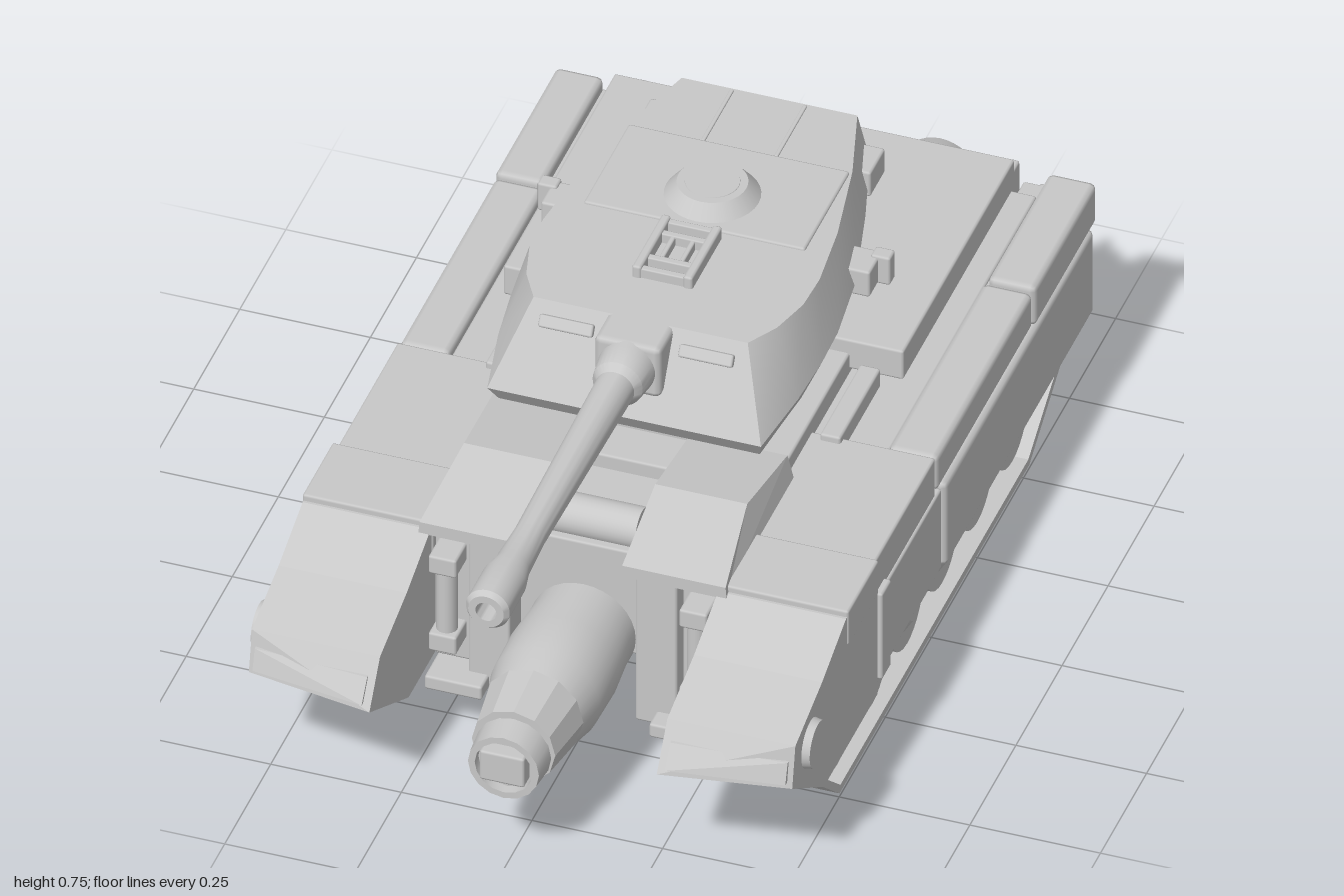
import * as THREE from 'three';
import { mergeVertices, toCreasedNormals } from 'three/addons/utils/BufferGeometryUtils.js';
import { RoundedBoxGeometry } from 'three/addons/geometries/RoundedBoxGeometry.js';

const grey = new THREE.MeshStandardMaterial({ color: 0xc8c8c8 });
grey.name = 'armourGrey';

// Box given by its limits on each axis, with a small bevel
function box(x0, x1, y0, y1, z0, z1, r = 0.005) {
  return new RoundedBoxGeometry(x1 - x0, y1 - y0, z1 - z0, 1, r)
    .translate((x0 + x1) / 2, (y0 + y1) / 2, (z0 + z1) / 2);
}

// Side profile of [z, y] points, extruded from x0 to x1
function slab(pts, x0, x1, hole) {
  const shape = new THREE.Shape(pts.map(p => new THREE.Vector2(...p)));
  if (hole) shape.holes.push(new THREE.Path(hole.map(p => new THREE.Vector2(...p))));
  return new THREE.ExtrudeGeometry(shape, { depth: x1 - x0, bevelEnabled: false })
    .rotateY(-Math.PI / 2).translate(x1, 0, 0);
}

// Turned part along z from [radius, z] points, z ascending
function turned(pts, x, y, sides = 32) {
  const g = new THREE.LatheGeometry(pts.map(p => new THREE.Vector2(...p)), sides);
  return toCreasedNormals(g.rotateX(Math.PI / 2), 0.5).translate(x, y, 0);
}

// Disc whose axis runs along x
function disc(r0, r1, x0, x1, y, z, sides = 28) {
  return new THREE.CylinderGeometry(r0, r1, x1 - x0, sides)
    .rotateZ(-Math.PI / 2).translate((x0 + x1) / 2, y, z);
}

// Copy reflected across x = 0
function mirrored(geo) {
  const g = mergeVertices(geo.clone());
  g.scale(-1, 1, 1);
  g.setIndex(Array.from(g.index.array).reverse());
  return g;
}

// Symmetric shell from stations of three right-hand [x, y, z] points, front to back
function loft(stations) {
  const rings = stations.map(s => [...s, ...[...s].reverse().map(([x, y, z]) => [-x, y, z])]);
  const v = [], n = rings[0].length, last = rings[rings.length - 1];
  const quad = (a, b, c, d) => v.push(...a, ...b, ...c, ...a, ...c, ...d);
  for (let i = 0; i < rings.length - 1; i++) {
    for (let j = 0; j < n; j++) {
      const k = (j + 1) % n, a = rings[i], b = rings[i + 1];
      quad(a[j], b[j], b[k], a[k]);
    }
  }
  for (let j = 0; j < n / 2 - 1; j++) {
    const f = rings[0];
    quad(f[n - 1 - j], f[j], f[j + 1], f[n - 2 - j]);
    quad(last[j], last[n - 1 - j], last[n - 2 - j], last[j + 1]);
  }
  const g = new THREE.BufferGeometry();
  g.setAttribute('position', new THREE.Float32BufferAttribute(v, 3));
  g.computeVertexNormals();
  return toCreasedNormals(g, 0.35);
}

// Push the lower lip of a fender nose forward toward its inner edge
function skewNose(g) {
  const p = g.attributes.position;
  for (let i = 0; i < p.count; i++) {
    if (p.getZ(i) < 0.75) continue;
    const low = THREE.MathUtils.clamp((0.335 - p.getY(i)) / 0.085, 0, 1);
    p.setZ(i, p.getZ(i) + low * 0.04 * (0.52 - p.getX(i)) / 0.24);
  }
  g.computeVertexNormals();
  return g;
}

// Lean the outer side of a deck panel inward as it rises
function leanSide(g, outer) {
  const p = g.attributes.position;
  for (let i = 0; i < p.count; i++) {
    if (p.getX(i) > outer - 0.01) p.setX(i, outer - Math.max(0, p.getY(i) - 0.44) * 0.4);
  }
  g.computeVertexNormals();
  return g;
}

export function createModel() {
  const model = new THREE.Group();
  model.name = 'tank';
  const add = (name, geo, parent = model) => {
    const m = new THREE.Mesh(geo, grey);
    m.name = name;
    parent.add(m);
  };
  const pair = (name, geo, parent = model) => {
    add(name + 'Left', geo, parent);
    add(name + 'Right', mirrored(geo), parent);
  };

  // Hull and decks
  add('rearHull', box(-0.275, 0.275, 0.11, 0.43, -0.8, 0.1));
  add('frontHull', box(-0.275, 0.275, 0.2, 0.43, 0.09, 0.47));
  add('midDeck', box(-0.28, 0.28, 0.42, 0.46, -0.25, 0.25));
  add('rearDeck', box(-0.383, 0.383, 0.425, 0.49, -0.785, -0.18));
  pair('sponson', box(0.27, 0.42, 0.19, 0.405, -0.8, 0.36));
  pair('frontDeck', leanSide(slab([[0.53, 0.42], [0.53, 0.445], [0.35, 0.5], [0.16, 0.475], [0.16, 0.42]], 0.095, 0.295), 0.295));
  add('frontRoll', disc(0.04, 0.04, -0.095, 0.095, 0.45, 0.42));
  pair('frontPlate', box(0.12, 0.2, 0.1, 0.43, 0.09, 0.53));
  pair('frontCheek', box(0.2, 0.275, 0.13, 0.425, 0.09, 0.5));
  pair('frontLug', box(0.16, 0.27, 0.1, 0.13, 0.45, 0.57));
  const post = new THREE.CylinderGeometry(0.02, 0.02, 0.2, 16);
  pair('frontPost', post.translate(0.24, 0.285, 0.53));
  for (const y of [0.2, 0.375]) pair('postClamp', box(0.213, 0.267, y - 0.02, y + 0.02, 0.49, 0.558));
  pair('deckRail', box(0.3, 0.34, 0.4, 0.442, -0.18, 0.04));

  // Nose cannon pod
  const pod = new THREE.Group();
  pod.name = 'noseCannon';
  model.add(pod);
  add('podBody', turned([[0, 0.1], [0.1, 0.1], [0.1, 0.5], [0.107, 0.58], [0.105, 0.68], [0.085, 0.77], [0, 0.77]], 0, 0.235), pod);
  add('podCollar', turned([[0, 0.74], [0.095, 0.74], [0.08, 0.85], [0, 0.85]], 0, 0.24, 12), pod);
  add('podMuzzle', turned([[0, 0.8], [0.076, 0.8], [0.068, 0.905], [0.055, 0.905], [0.055, 0.885], [0, 0.885]], 0, 0.232, 16), pod);
  add('podBore', box(-0.043, 0.043, 0.203, 0.268, 0.86, 0.915), pod);

  // Belly tubes
  pair('bellyTube', turned([[0, -0.8], [0.088, -0.8], [0.088, 0.1], [0.065, 0.2], [0, 0.2]], 0.15, 0.122, 12));

  // Rear thrusters
  pair('thruster', turned([[0, -0.98], [0.055, -0.98], [0.055, -1], [0.07, -1],
    [0.135, -0.85], [0.135, -0.78], [0, -0.78]], 0.165, 0.255));
  pair('thrusterBar', box(0.11, 0.22, 0.245, 0.265, -0.995, -0.97));
  pair('thrusterFrame', box(0.03, 0.325, 0.13, 0.41, -0.835, -0.78));
  pair('rearPlate', box(0.345, 0.365, 0.16, 0.425, -0.865, -0.78));
  pair('rearPanel', box(0.38, 0.425, 0.16, 0.4, -0.84, -0.78));

  // Tow brackets
  pair('towBracket', slab([[-0.63, 0.115], [-0.63, 0.095], [-0.68, 0.042], [-0.865, 0.042], [-0.865, 0.115], [-0.8, 0.14], [-0.7, 0.14]], 0.335, 0.36));
  for (const z of [-0.73, -0.83]) pair('towPin', disc(0.022, 0.022, 0.315, 0.378, 0.08, z, 16));

  // Tracks and road wheels
  pair('trackBelt', slab(
    [[0.49, 0], [0.67, 0.16], [0.67, 0.3], [-0.8, 0.3], [-0.8, 0.16], [-0.54, 0]], 0.407, 0.497,
    [[0.485, 0.016], [0.655, 0.167], [0.655, 0.285], [-0.785, 0.285], [-0.785, 0.17], [-0.535, 0.016]]));
  pair('trackWall', slab([[0.485, 0.01], [0.66, 0.165], [0.66, 0.29], [-0.79, 0.29], [-0.79, 0.165], [-0.535, 0.01]], 0.44, 0.455));
  for (let i = 0; i < 6; i++) {
    const z = 0.44 - i * 0.19;
    pair('roadWheel', disc(0.088, 0.088, 0.415, 0.475, 0.112, z));
    pair('wheelHub', disc(0.03, 0.055, 0.475, 0.49, 0.115, z, 20));
  }

  // Front fenders
  pair('fenderNose', skewNose(slab([[0.35, 0.425], [0.52, 0.425], [0.65, 0.375], [0.795, 0.335],
    [0.812, 0.25], [0.64, 0.13], [0.35, 0.13]], 0.275, 0.52)));
  pair('fenderCap', box(0.272, 0.523, 0.36, 0.438, 0.35, 0.515));
  pair('fenderLight', skewNose(slab([[0.78, 0.306], [0.808, 0.304], [0.82, 0.262], [0.78, 0.26]], 0.29, 0.51)));
  pair('fenderHub', disc(0.045, 0.052, 0.5, 0.535, 0.285, 0.715));

  // Side skirts
  pair('midSkirt', box(0.4, 0.52, 0.165, 0.345, 0, 0.34));
  pair('midSkirtTop', box(0.265, 0.515, 0.34, 0.428, 0.02, 0.345));
  pair('skirtStrip', box(0.42, 0.528, 0.16, 0.355, 0.295, 0.345));
  pair('rearSkirt', box(0.42, 0.52, 0.145, 0.335, -0.83, -0.025, 0.012));
  pair('rearSkirtTop', box(0.42, 0.515, 0.34, 0.42, -0.51, 0.01, 0.012));
  pair('rearSkirtEnd', box(0.425, 0.518, 0.335, 0.425, -0.85, -0.515, 0.012));
  pair('skirtCore', box(0.41, 0.5, 0.2, 0.4, -0.845, 0.3));

  // Turret
  const turret = new THREE.Group();
  turret.name = 'turret';
  model.add(turret);
  add('turretRing', new THREE.CylinderGeometry(0.165, 0.165, 0.13, 40).translate(0, 0.525, -0.19), turret);
  add('turretNeck', box(-0.22, 0.22, 0.455, 0.53, -0.02, 0.16), turret);
  add('turretShell', loft([
    [[0.25, 0.515, 0.222], [0.262, 0.555, 0.25], [0.205, 0.712, 0.16]],
    [[0.258, 0.515, 0.12], [0.287, 0.575, 0.12], [0.24, 0.712, 0.1]],
    [[0.265, 0.515, 0.04], [0.298, 0.59, 0.02], [0.262, 0.712, 0.02]],
    [[0.265, 0.585, -0.06], [0.3, 0.6, -0.06], [0.265, 0.712, -0.06]],
    [[0.255, 0.585, -0.2], [0.285, 0.61, -0.2], [0.25, 0.712, -0.2]],
    [[0.215, 0.585, -0.38], [0.24, 0.62, -0.38], [0.215, 0.712, -0.38]],
    [[0.165, 0.585, -0.53], [0.192, 0.62, -0.54], [0.168, 0.712, -0.54]],
  ]), turret);
  add('roofPanel', box(-0.212, 0.212, 0.69, 0.717, -0.375, -0.13), turret);
  pair('roofRib', box(0.066, 0.074, 0.7, 0.715, -0.535, -0.375, 0.002), turret);
  add('cupola', new THREE.CylinderGeometry(0.065, 0.09, 0.03, 32).translate(0, 0.73, -0.23), turret);
  add('cupolaLid', new THREE.CylinderGeometry(0.05, 0.055, 0.015, 32).translate(0, 0.7385, -0.23), turret);

  // Roof grille
  pair('grilleRail', box(0.04, 0.058, 0.705, 0.737, -0.12, 0.045), turret);
  for (const z of [-0.11, -0.075, 0, 0.035]) add('grilleBar', box(-0.055, 0.055, 0.705, 0.732, z - 0.007, z + 0.007, 0.003), turret);
  pair('grilleCore', box(0.014, 0.024, 0.705, 0.73, -0.075, 0, 0.003), turret);

  // Turret fittings
  pair('sideBracket', box(0.25, 0.315, 0.588, 0.645, -0.26, -0.19), turret);
  pair('sideSensor', box(0.3, 0.338, 0.588, 0.65, -0.265, -0.235), turret);
  pair('rearBracket', box(0.18, 0.225, 0.605, 0.66, -0.53, -0.45), turret);
  const slot = box(-0.052, 0.052, -0.012, 0.012, -0.012, 0.012, 0.004);
  pair('visionSlot', slot.rotateX(-0.53).translate(0.134, 0.678, 0.178), turret);
  add('rearPort', disc(0.035, 0.035, -0.03, 0.03, 0.645, -0.51), turret);
  pair('rearPortCheek', box(0.035, 0.09, 0.6, 0.7, -0.545, -0.5), turret);

  // Main gun
  add('mantlet', box(-0.064, 0.064, 0.6, 0.712, 0.08, 0.235, 0.012), turret);
  add('mainGun', turned([[0, 0.05], [0.054, 0.05], [0.054, 0.24], [0.048, 0.285], [0.037, 0.3], [0.03, 0.76],
    [0.034, 0.86], [0.042, 0.9], [0.042, 0.99], [0.034, 1], [0.02, 1], [0.02, 0.94], [0, 0.94]], 0, 0.657), turret);
  return model;
}
